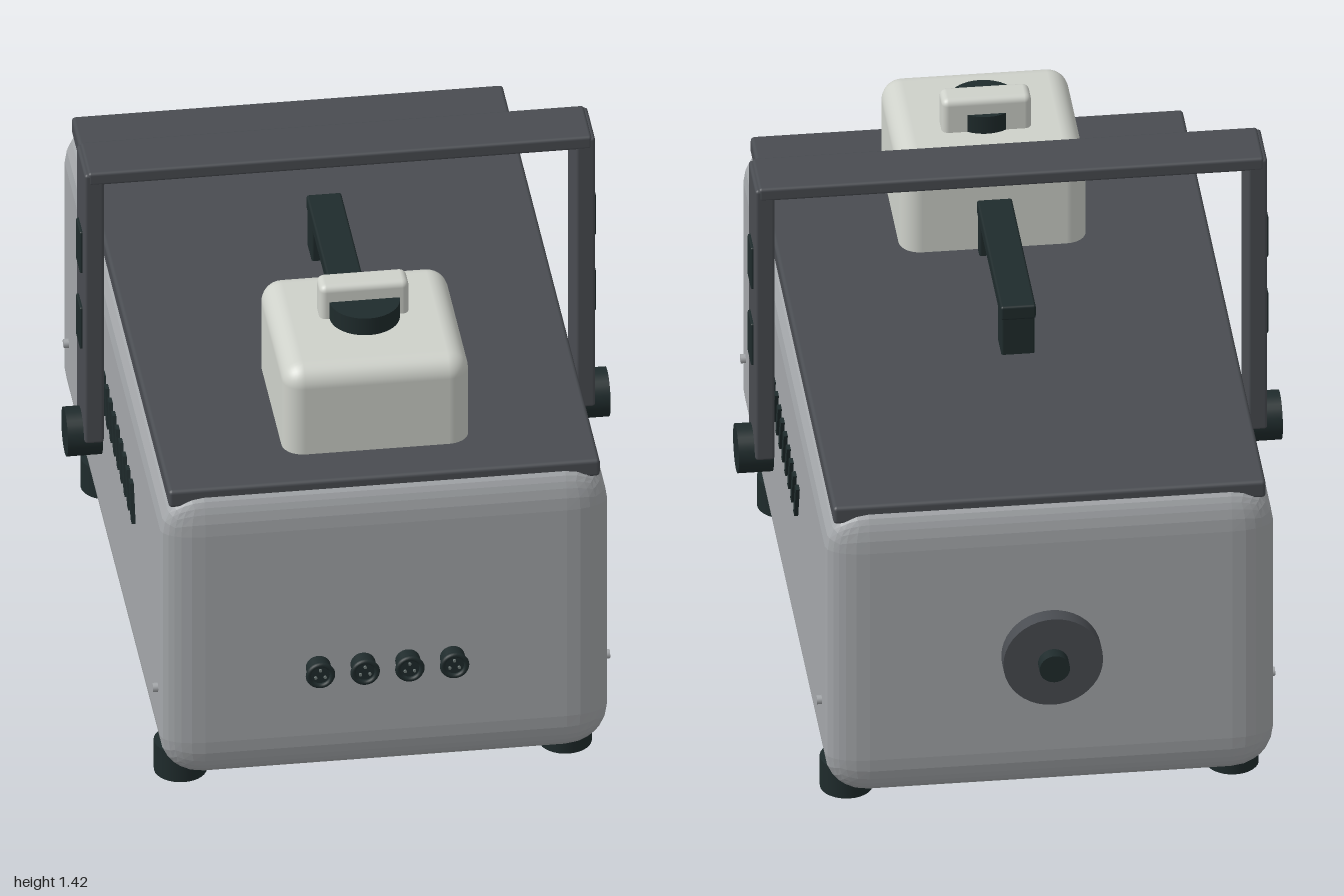
import * as THREE from 'three';
import { RoundedBoxGeometry } from 'three/addons/geometries/RoundedBoxGeometry.js';

export function createModel() {
  const model = new THREE.Group();
  model.name = 'carryCase';

  const mat = (name, color) => {
    const m = new THREE.MeshStandardMaterial({ color });
    m.name = name;
    return m;
  };
  const grey = mat('bodyGrey', 0xa4a7aa);
  const slate = mat('slateGrey', 0x494c51);
  const dark = mat('darkRubber', 0x1f2b2c);
  const cream = mat('paleCream', 0xced1ca);
  const pinGrey = mat('pinGrey', 0x6f7a78);

  const add = (name, geometry, material, x, y, z, parent = model) => {
    const mesh = new THREE.Mesh(geometry, material);
    mesh.name = name;
    mesh.position.set(x, y, z);
    parent.add(mesh);
    return mesh;
  };
  // Rounded box given by its limits on each axis
  const slab = (name, material, [x0, x1], [y0, y1], [z0, z1], r, segments = 2) =>
    add(name, new RoundedBoxGeometry(x1 - x0, y1 - y0, z1 - z0, segments, r), material,
      (x0 + x1) / 2, (y0 + y1) / 2, (z0 + z1) / 2);
  const cylX = (r, h, n = 32) => new THREE.CylinderGeometry(r, r, h, n).rotateZ(Math.PI / 2);
  const cylZ = (r, h, n = 32) => new THREE.CylinderGeometry(r, r, h, n).rotateX(Math.PI / 2);

  // Main body: faceted rounded edges, shallower towards the front and back
  const squash = 0.45;
  const bodyGeo = new RoundedBoxGeometry(1.15, 0.84, 1.87 / squash, 3, 0.11);
  bodyGeo.scale(1, 1, squash);
  bodyGeo.computeVertexNormals();
  add('body', bodyGeo, grey, 0, 0.54, 0.015);

  // Lid
  slab('lid', slate, [-0.555, 0.555], [0.925, 0.975], [-0.89, 0.92], 0.01);

  // Feet
  for (const x of [-0.495, 0.495])
    for (const z of [0.7, -0.66])
      add('foot', new THREE.CylinderGeometry(0.068, 0.068, 0.088, 32), dark, x, 0.044, z);

  // Pale unit on the lid, with its dial and tab
  slab('topUnit', cream, [-0.24, 0.24], [0.9, 1.225], [0.31, 0.79], 0.055, 4);
  add('topDial', new THREE.CylinderGeometry(0.09, 0.09, 0.08, 40), dark, 0, 1.235, 0.55);
  slab('topTab', cream, [-0.115, 0.115], [1.2, 1.32], [0.475, 0.55], 0.018, 3);

  // Small lid handle
  slab('lidHandleBar', dark, [-0.045, 0.045], [1.08, 1.12], [-0.21, 0.36], 0.006);
  slab('lidHandleRearLeg', dark, [-0.043, 0.043], [0.96, 1.1], [-0.205, -0.12], 0.006);
  slab('lidHandleFrontLeg', dark, [-0.043, 0.043], [0.96, 1.1], [0.275, 0.355], 0.006);

  // Tall carrying handle
  const handleZ = 0.018;
  slab('carryBar', slate, [-0.648, 0.648], [1.388, 1.425], [handleZ - 0.078, handleZ + 0.078], 0.008);

  // Slanted vent outline in the z-y plane
  const ventShape = new THREE.Shape([
    new THREE.Vector2(-0.03, -0.05), new THREE.Vector2(-0.005, -0.05),
    new THREE.Vector2(0.03, 0.05), new THREE.Vector2(0.005, 0.05),
  ]);
  const ventGeo = new THREE.ExtrudeGeometry(ventShape, { depth: 0.02, bevelEnabled: false });
  ventGeo.translate(0, 0, -0.01).rotateY(Math.PI / 2);

  for (const s of [-1, 1]) {
    const span = (a, b) => (s > 0 ? [a, b] : [-b, -a]);
    slab('carryArm', slate, span(0.607, 0.657), [0.61, 1.42], [handleZ - 0.077, handleZ + 0.077], 0.008);
    for (const y of [0.935, 1.163])
      slab('armPad', dark, span(0.64, 0.664), [y - 0.062, y + 0.062], [handleZ - 0.037, handleZ + 0.037], 0.004);
    add('armPivot', cylX(0.064, 0.09), dark, s * 0.653, 0.605, handleZ);
    for (let i = 0; i < 12; i++)
      add('vent', ventGeo, dark, s * 0.575, 0.635, 0.418 - i * 0.065);
    for (const z of [0.855, -0.8])
      add('sideScrew', cylX(0.012, 0.02, 16), grey, s * 0.578, 0.348, z);
  }

  // Front sockets: barrel, rim and three contacts
  for (const x of [-0.175, -0.06, 0.055, 0.17]) {
    const socket = new THREE.Group();
    socket.name = 'frontSocket';
    socket.position.set(x, 0.435, 0.95);
    model.add(socket);
    add('socketBarrel', cylZ(0.032, 0.06), dark, 0, 0, 0.01, socket);
    add('socketRim', new THREE.TorusGeometry(0.031, 0.007, 8, 32), dark, 0, 0, 0.042, socket);
    for (let i = 0; i < 3; i++) {
      const a = Math.PI / 2 + (i * Math.PI * 2) / 3;
      add('socketPin', cylZ(0.004, 0.008, 10), pinGrey,
        Math.cos(a) * 0.014, Math.sin(a) * 0.014, 0.041, socket);
    }
  }

  // Rear disc and knob
  add('rearDisc', cylZ(0.128, 0.06, 40), slate, 0, 0.52, -0.935);
  add('rearKnob', cylZ(0.039, 0.06), dark, 0, 0.52, -0.97);

  return model;
}
